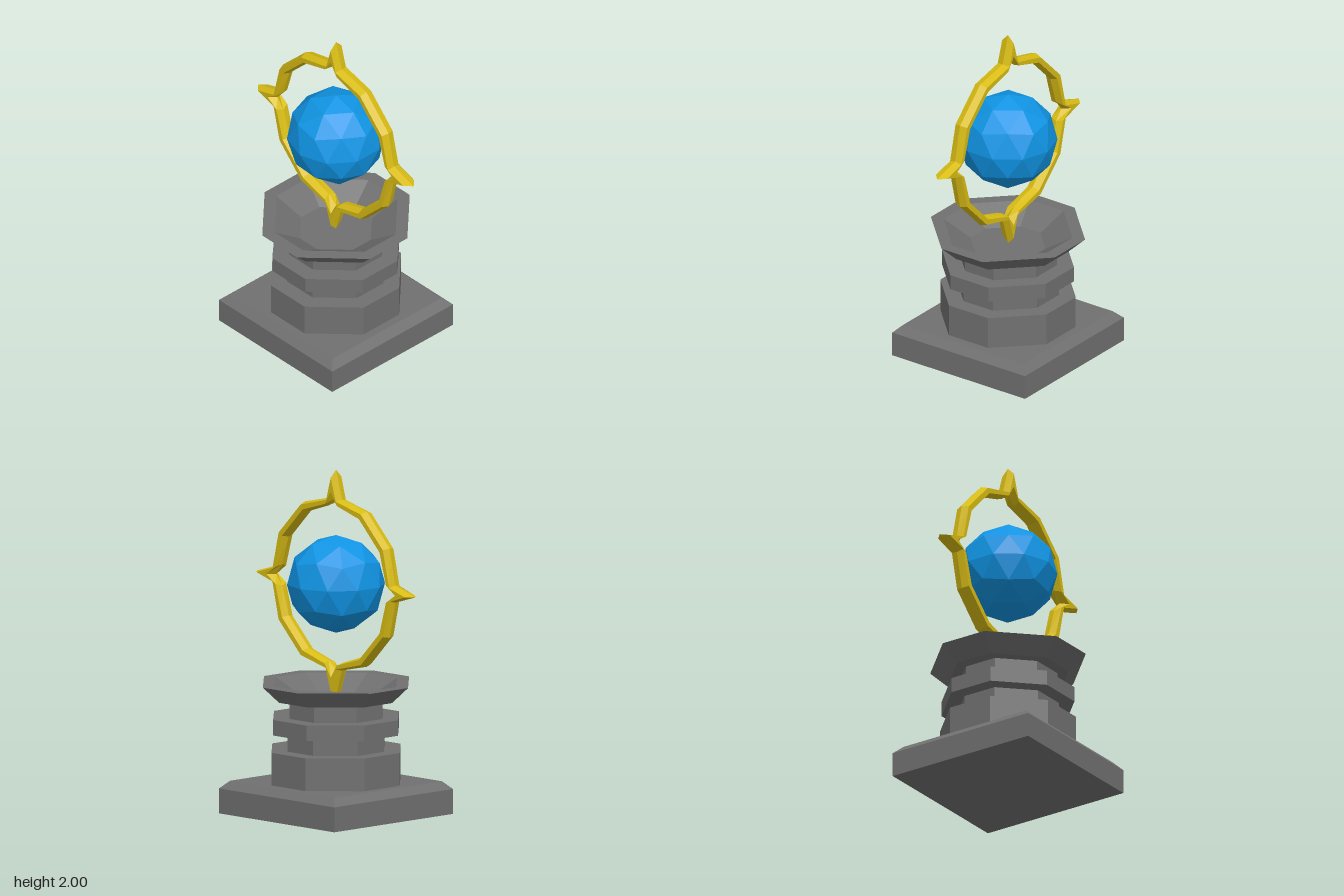
import * as THREE from 'three';

const stone = new THREE.MeshStandardMaterial({ color: 0x707070, flatShading: true });
const gold = new THREE.MeshStandardMaterial({ color: 0xd8bc14, flatShading: true });
const blue = new THREE.MeshStandardMaterial({ color: 0x1094e4, flatShading: true });

// Skin a list of equal-length point rings; optionally join the last to the first
function loft(rings, closed = false) {
  const n = rings[0].length, pos = [];
  const count = closed ? rings.length : rings.length - 1;
  for (let i = 0; i < count; i++) {
    const lo = rings[i], hi = rings[(i + 1) % rings.length];
    for (let j = 0; j < n; j++) {
      const k = (j + 1) % n;
      pos.push(...lo[j], ...lo[k], ...hi[k], ...lo[j], ...hi[k], ...hi[j]);
    }
  }
  const g = new THREE.BufferGeometry();
  g.setAttribute('position', new THREE.Float32BufferAttribute(pos, 3));
  g.computeVertexNormals();
  return g;
}

// Horizontal square ring, and the same with its corners cut
const square = (a, y) => [[-a, y, a], [a, y, a], [a, y, -a], [-a, y, -a]];
const octagon = (a, y, ratio) => {
  const b = a * ratio;
  return [[-b, y, a], [b, y, a], [a, y, b], [a, y, -b], [b, y, -a], [-b, y, -a], [-a, y, -b], [-a, y, b]];
};

export function createModel() {
  const model = new THREE.Group();
  model.name = 'orbPedestal';
  const add = (name, geometry, material) => {
    const mesh = new THREE.Mesh(geometry, material);
    mesh.name = name;
    model.add(mesh);
    return mesh;
  };

  // Square plinth with a bevelled top edge
  add('plinth', loft([square(0, 0), square(0.475, 0), square(0.475, 0.145),
    square(0.43, 0.19), square(0, 0.19)]), stone);

  // Stacked eight-sided tiers: name, half width, bottom, top
  for (const [name, a, y0, y1] of [
    ['lowerTier', 0.38, 0.19, 0.38],
    ['lowerNeck', 0.285, 0.38, 0.48],
    ['collar', 0.37, 0.48, 0.57],
    ['upperNeck', 0.275, 0.57, 0.67],
  ]) {
    add(name, loft([[0, y0], [a, y0], [a, y1], [0, y1]].map(([s, y]) => octagon(s, y, 0.37))), stone);
  }

  // Flared capital with a sunken bowl
  const capital = [[0, 0.65], [0.27, 0.65], [0.27, 0.67], [0.345, 0.67], [0.443, 0.765],
    [0.37, 0.765], [0.2, 0.66], [0, 0.66]];
  add('bowl', loft(capital.map(([s, y]) => octagon(s, y, 0.33))), stone);

  // Ring with four spikes: each station lists outer ridge, outer edge, inner edge, inner ridge
  const tip = [[0.665, 0], [0.622, 0], [0.54, 0], [0.5, 0]];
  const foot = [[0.497, 0.05], [0.489, 0.038], [0.464, 0.05], [0.45, 0.062]];
  const bend = [0.52, 0.505, 0.473, 0.458].map((r) => [r * Math.cos(Math.PI / 6), r * Math.sin(Math.PI / 6)]);
  const swap = (station) => station.map(([x, y]) => [y, x]);
  const quarter = [tip, foot, bend, swap(bend), swap(foot)];
  const h = 0.042;
  const stations = [];
  for (let q = 0; q < 4; q++) {
    const c = Math.round(Math.cos(q * Math.PI / 2)), s = Math.round(Math.sin(q * Math.PI / 2));
    for (const station of quarter) {
      const [ridge, outer, inner, innerRidge] = station.map(([x, y]) => [x * c - y * s, x * s + y * c]);
      stations.push([[...outer, h], [...ridge, 0], [...outer, -h],
        [...inner, -h], [...innerRidge, 0], [...inner, h]]);
    }
  }
  const ring = add('spikedRing', loft(stations, true), gold);
  ring.position.y = 1.335;
  ring.rotation.y = -0.018;

  // Faceted orb, turned so one vertex points straight up
  const orbGeometry = new THREE.IcosahedronGeometry(0.284, 1);
  orbGeometry.rotateX(-Math.atan((1 + Math.sqrt(5)) / 2));
  orbGeometry.rotateY(Math.PI / 2);
  add('orb', orbGeometry, blue).position.y = 1.336;

  return model;
}
